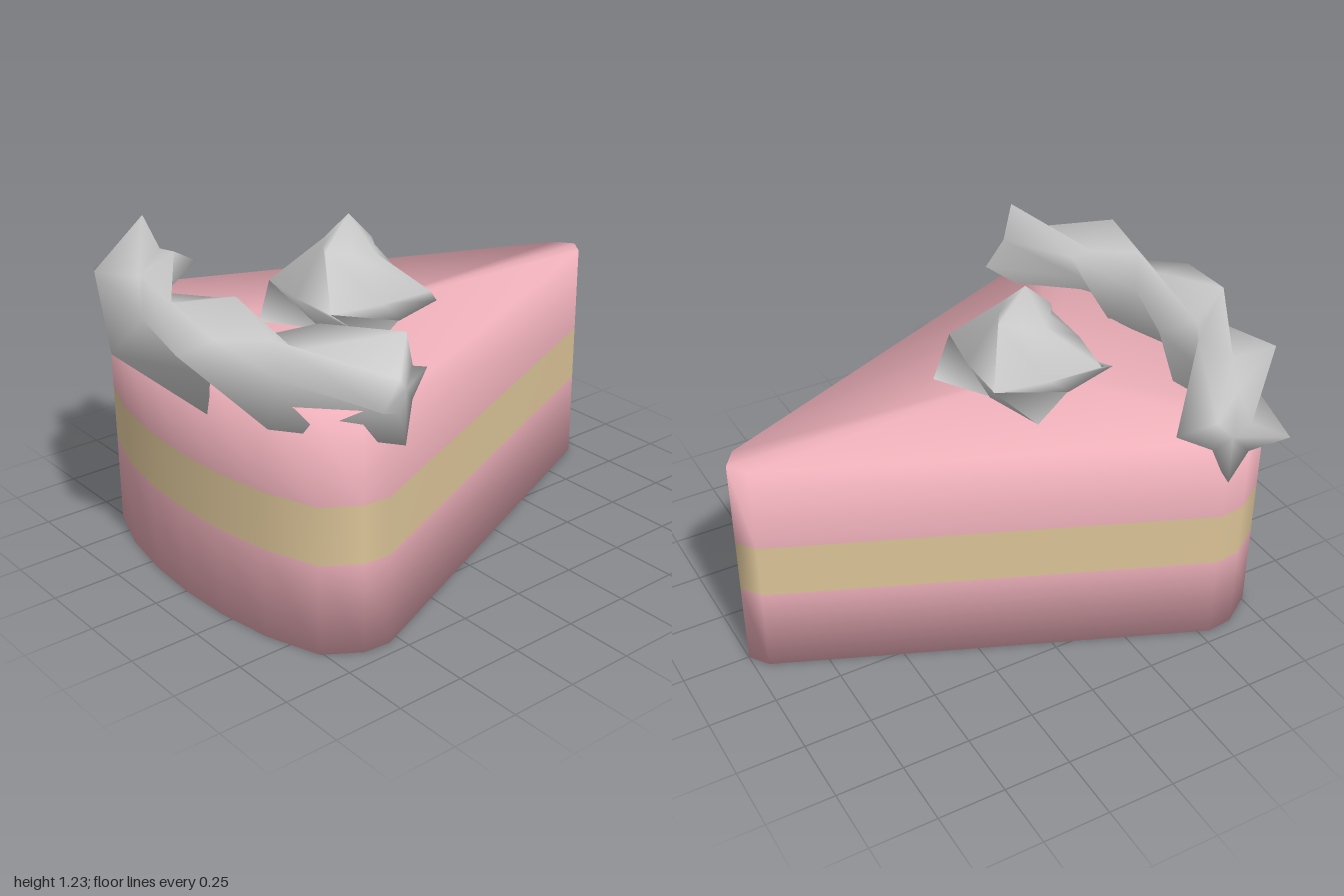
import * as THREE from 'three';

const material = (color) => new THREE.MeshStandardMaterial({ color, side: THREE.DoubleSide });

// Skins equal rings (counter-clockwise seen against the travel direction) and closes
// both ends with a fan to a centre point. Shared vertices give smooth normals.
function loft(rings, startPoint, endPoint) {
  const n = rings[0].length, last = (rings.length - 1) * n, start = rings.length * n;
  const index = [];
  for (let j = 0; j < n; j++) index.push(start, (j + 1) % n, j);
  for (let i = 0; i < rings.length - 1; i++) {
    for (let j = 0; j < n; j++) {
      const a = i * n + j, b = i * n + (j + 1) % n;
      index.push(a, b, a + n, b, b + n, a + n);
    }
  }
  for (let j = 0; j < n; j++) index.push(start + 1, last + j, last + (j + 1) % n);
  const geometry = new THREE.BufferGeometry().setFromPoints([...rings.flat(), startPoint, endPoint]);
  geometry.setIndex(index);
  geometry.computeVertexNormals();
  return geometry;
}

// Four-pointed star as [u, v] pairs
function star(outer, inner, degrees) {
  return Array.from({ length: 8 }, (_, k) => {
    const a = THREE.MathUtils.degToRad(degrees + k * 45);
    const r = k % 2 ? inner : outer;
    return [r * Math.cos(a), r * Math.sin(a)];
  });
}

// Wedge with a blunt tip and a rounded back, cut into three layers
function createSlice() {
  const half = [[0.95, -0.07], [-0.54, -0.7], [-0.64, -0.69], [-0.76, -0.61], [-0.83, -0.41], [-0.865, -0.2]];
  const mirrored = half.map(([x, z]) => [x, -z]).reverse();
  const outline = [[1, 0], ...half, [-0.875, 0], ...mirrored];
  const rings = [0, 0.33, 0.54, 0.865].map((y) => outline.map(([x, z]) => new THREE.Vector3(x, y, z)));
  const whole = loft(rings, new THREE.Vector3(-0.2, 0, 0), new THREE.Vector3(-0.2, 0.865, 0));

  const group = new THREE.Group();
  group.name = 'cakeSlice';
  const indices = Array.from(whole.index.array);
  const cap = outline.length * 3, band = outline.length * 6;
  const layers = [
    ['bottomSponge', 0, cap + band, 0xeeb0ba],
    ['creamFilling', cap + band, cap + 2 * band, 0xdcc498],
    ['topSponge', cap + 2 * band, indices.length, 0xeeb0ba],
  ];
  for (const [name, from, to, color] of layers) {
    const geometry = whole.clone();
    geometry.setIndex(indices.slice(from, to));
    const mesh = new THREE.Mesh(geometry, material(color));
    mesh.name = name;
    group.add(mesh);
  }
  return group;
}

// Piped star rope twisting along the back edge
function createRope() {
  const y = 0.92;
  const path = [[-0.515, -0.745, -29], [-0.715, -0.44, -23], [-0.8, -0.18, -6],
    [-0.8, 0.18, 6], [-0.715, 0.44, 23], [-0.515, 0.745, 29]];
  const rings = path.map(([x, z, turn], i) => {
    const a = THREE.MathUtils.degToRad(turn);
    return star(i % 5 ? 0.2 : 0.19, 0.08, i * 54).map(([u, v]) =>
      new THREE.Vector3(x + u * Math.cos(a), y + v, z - u * Math.sin(a)));
  });
  const geometry = loft(rings, new THREE.Vector3(-0.515, y, -0.745), new THREE.Vector3(-0.515, y, 0.745));
  const mesh = new THREE.Mesh(geometry, material(0xcccccc));
  mesh.name = 'creamRope';
  return mesh;
}

// Swirled star dollop on top
function createDollop() {
  const tiers = [[0.862, 0.33, 0.2, -21], [0.96, 0.29, 0.22, -51], [1.11, 0.12, 0.09, -81]];
  const rings = tiers.map(([y, outer, inner, turn]) =>
    star(outer, inner, turn).map(([u, v]) => new THREE.Vector3(u, y, -v)));
  const geometry = loft(rings, new THREE.Vector3(0, 0.862, 0), new THREE.Vector3(0, 1.225, 0));
  const mesh = new THREE.Mesh(geometry, material(0xcccccc));
  mesh.name = 'creamDollop';
  mesh.position.set(-0.145, 0, 0.005);
  return mesh;
}

export function createModel() {
  const model = new THREE.Group();
  model.name = 'cake';
  model.add(createSlice(), createRope(), createDollop());
  return model;
}
